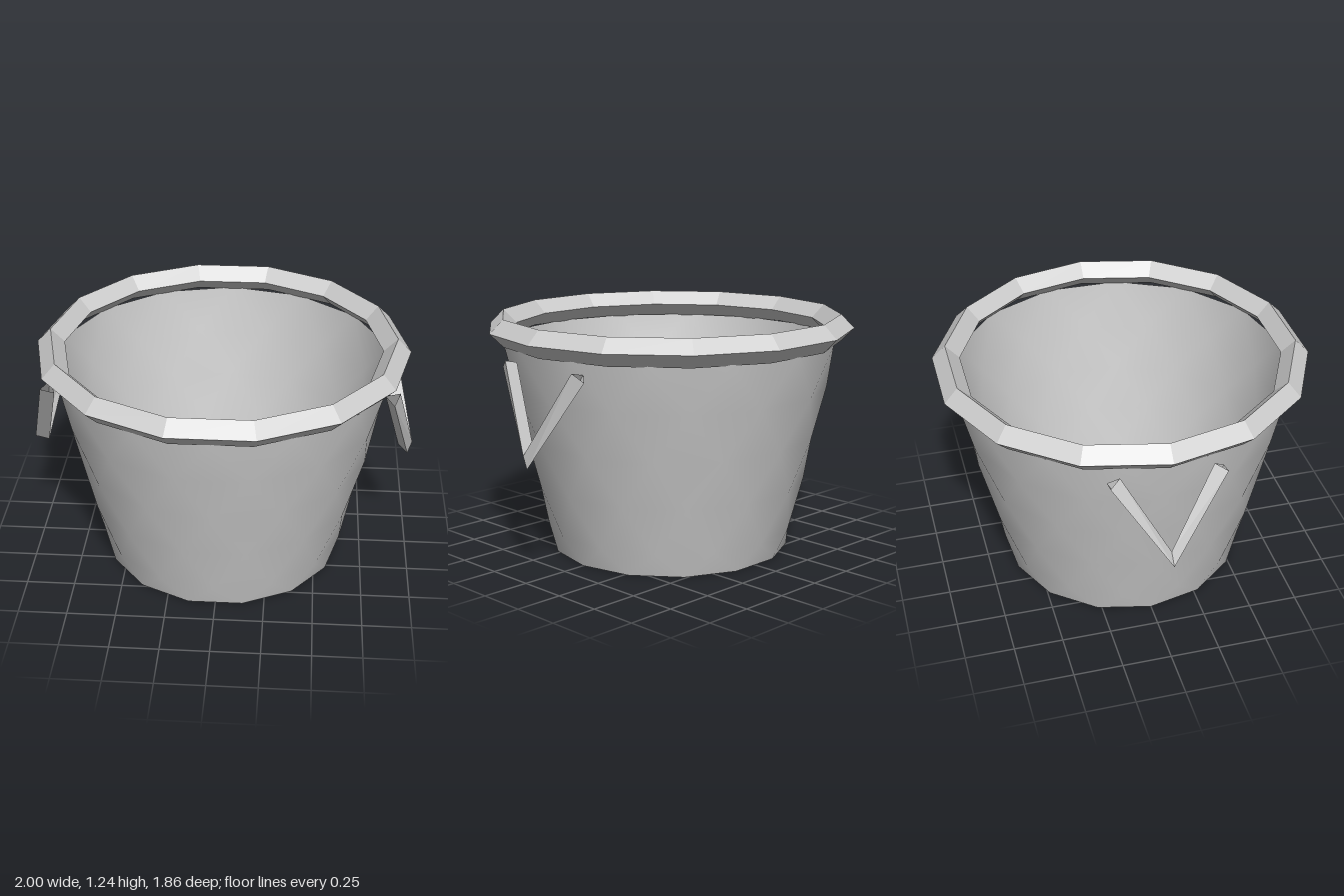
import * as THREE from 'three';

const SIDES = 14;

function geometryFrom(points, index) {
  const g = new THREE.BufferGeometry();
  g.setFromPoints(points);
  g.setIndex(index);
  return g;
}

function flat(geometry) {
  const g = geometry.toNonIndexed();
  g.computeVertexNormals();
  return g;
}

// Open tapered wall: rings alternate by half a step, joined by triangles
function wallGeometry() {
  const rings = [[0.625, 0], [0.65, 0.12], [0.71, 0.367], [0.765, 0.615], [0.82, 0.86], [0.87, 1.105]];
  const points = [], index = [];
  rings.forEach(([r, y], i) => {
    for (let j = 0; j < SIDES; j++) {
      const a = (j + (i % 2) / 2) * Math.PI * 2 / SIDES;
      points.push(new THREE.Vector3(r * Math.cos(a), y, r * Math.sin(a)));
    }
  });
  for (let i = 0; i < rings.length - 1; i++) {
    for (let j = 0; j < SIDES; j++) {
      const k = (j + 1) % SIDES;
      const l0 = i * SIDES + j, l1 = i * SIDES + k;
      const u0 = l0 + SIDES, u1 = l1 + SIDES;
      if (i % 2 === 0) index.push(l0, u0, l1, u0, u1, l1);
      else index.push(l0, u0, u1, l0, u1, l1);
    }
  }
  const g = geometryFrom(points, index);
  g.computeVertexNormals();
  return g;
}

// V-shaped handle: a three-sided open tube swept down and up again
function handleGeometry(side, phase) {
  const r = 0.043;
  const path = [[0.863, 1.043, 0.265], [0.966, 0.612, 0], [0.863, 1.043, -0.265]]
    .map((p) => new THREE.Vector3(...p));
  const down = path[1].clone().sub(path[0]).normalize();
  const up = path[2].clone().sub(path[1]).normalize();
  const tangents = [down, down.clone().add(up).normalize(), up];
  const n = new THREE.Vector3().crossVectors(up, down).normalize();
  if (n.x < 0) n.negate();
  const points = [], index = [];
  path.forEach((c, i) => {
    const p = new THREE.Vector3().crossVectors(tangents[i], n).normalize();
    if (i === 1 ? p.y > 0 : p.z * c.z < 0) p.negate();
    for (let j = 0; j < 3; j++) {
      const a = phase + j * Math.PI * 2 / 3;
      const v = c.clone().addScaledVector(p, r * Math.cos(a)).addScaledVector(n, r * Math.sin(a));
      v.x *= side;
      points.push(v);
    }
  });
  for (let i = 0; i < 2; i++) {
    for (let j = 0; j < 3; j++) {
      const a = i * 3 + j, b = i * 3 + (j + 1) % 3;
      if (side > 0) index.push(a, a + 3, b + 3, a, b + 3, b);
      else index.push(a, b + 3, a + 3, a, b, b + 3);
    }
  }
  return flat(geometryFrom(points, index));
}

export function createModel() {
  const group = new THREE.Group();
  group.name = 'bucket';
  const grey = new THREE.MeshStandardMaterial({ color: 0xcccccc, side: THREE.DoubleSide });
  grey.name = 'light grey';
  const add = (name, geometry) => {
    const mesh = new THREE.Mesh(geometry, grey);
    mesh.name = name;
    group.add(mesh);
    return mesh;
  };

  add('wall', wallGeometry());

  // Rim with a diamond cross-section
  const rim = new THREE.TorusGeometry(0.885, 0.07, 4, SIDES);
  rim.rotateX(Math.PI / 2);
  add('rim', flat(rim)).position.y = 1.17;

  // The handles differ in which way their triangular section points
  add('leftHandle', handleGeometry(1, 0));
  add('rightHandle', handleGeometry(-1, Math.PI));

  return group;
}
